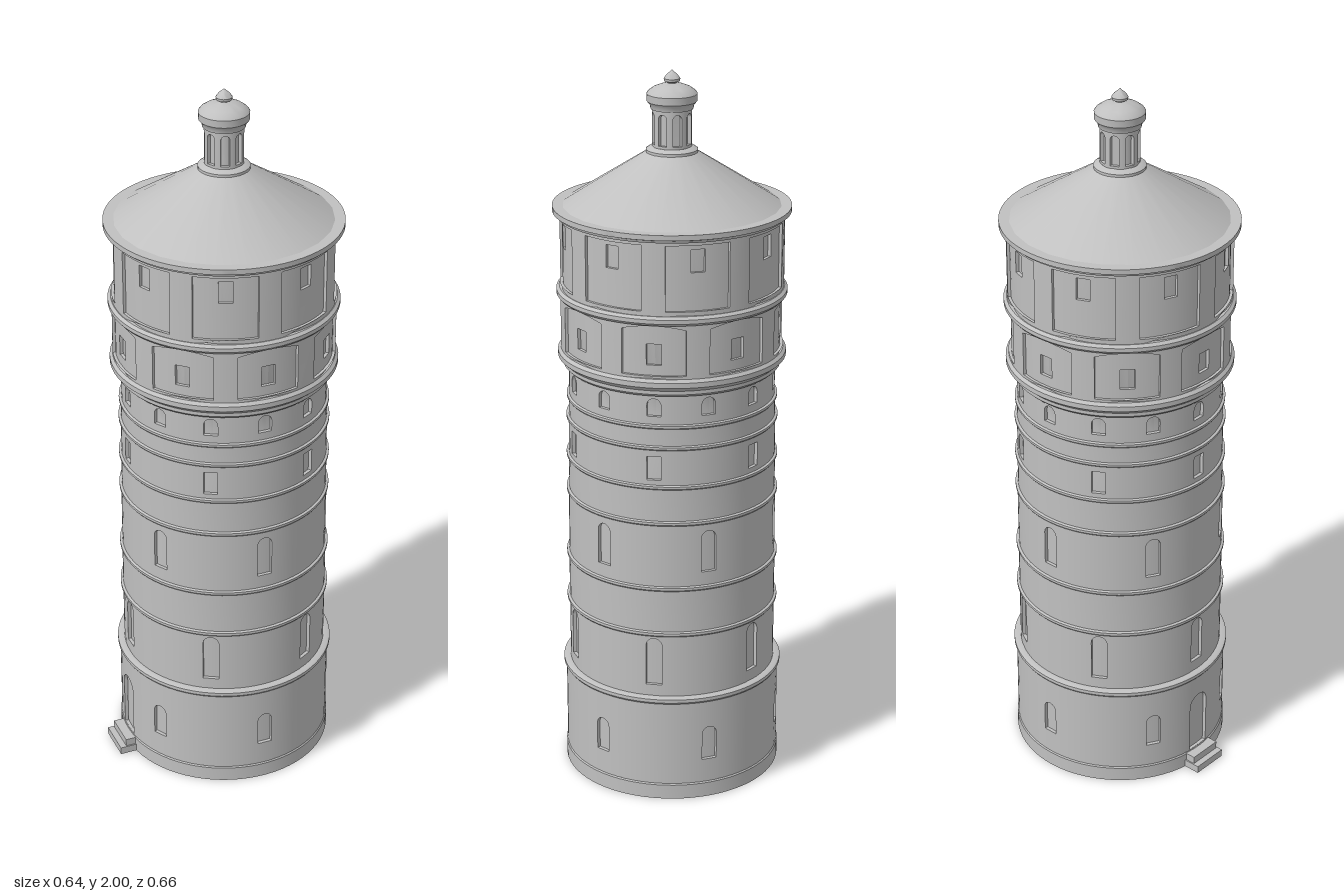
import * as THREE from 'three';
import { toCreasedNormals } from 'three/addons/utils/BufferGeometryUtils.js';

const DEG = Math.PI / 180;
const stone = new THREE.MeshStandardMaterial({ color: 0xc0c0c0 });
stone.name = 'grey stone';

function add(parent, name, geometry) {
  const mesh = new THREE.Mesh(geometry, stone);
  mesh.name = name;
  parent.add(mesh);
  return mesh;
}

// Turned part from [radius, height] pairs, listed from bottom to top
function turned(parent, name, profile, segments = 72) {
  const points = profile.map(([r, y]) => new THREE.Vector2(r, y));
  return add(parent, name, toCreasedNormals(new THREE.LatheGeometry(points, segments), 35 * DEG));
}

// Extrudes a flat shape and wraps it round the tower axis, its face at radius r
function wrapped(shape, r, depth, azimuth) {
  const g = new THREE.ExtrudeGeometry(shape, { depth, bevelEnabled: false, curveSegments: 8 });
  const p = g.attributes.position, n = g.attributes.normal;
  for (let i = 0; i < p.count; i++) {
    const a = azimuth + p.getX(i) / r, s = Math.sin(a), c = Math.cos(a);
    const rad = r - depth + p.getZ(i), nx = n.getX(i), nz = n.getZ(i);
    p.setXYZ(i, rad * s, p.getY(i), rad * c);
    n.setXYZ(i, nx * c + nz * s, n.getY(i), nz * c - nx * s);
  }
  return g;
}

// Strip outline with subdivided long edges; rise lifts the lower edge into an arch
function strip(half, y0, y1, rise = 0) {
  const pts = [], steps = 12;
  for (let i = 0; i <= steps; i++) {
    const t = i / steps * 2 - 1;
    pts.push(new THREE.Vector2(t * half, y0 + rise * (1 - t * t)));
  }
  for (let i = steps; i >= 0; i--) pts.push(new THREE.Vector2((i / steps * 2 - 1) * half, y1));
  return new THREE.Shape(pts);
}

function openingPath(w, y0, y1, arched) {
  const h = w / 2, path = new THREE.Path();
  path.moveTo(-h, y0);
  path.lineTo(h, y0);
  if (arched) {
    path.lineTo(h, y1 - h);
    path.absarc(0, y1 - h, h, 0, Math.PI, false);
  } else {
    path.lineTo(h, y1);
    path.lineTo(-h, y1);
  }
  path.closePath();
  return path;
}

// Round wall with recessed openings; openings are sorted by azimuth in degrees
function wallTier(parent, name, r, y0, y1, openings, depth = 0.01, margin = 0.004) {
  const tier = new THREE.Group();
  tier.name = name;
  parent.add(tier);
  openings.forEach((o, i) => {
    const half = o.w / 2 + margin;
    const shape = strip(half, y0, y1);
    shape.holes.push(openingPath(o.w, o.y0, o.y1, o.arched));
    add(tier, o.name || 'windowSurround', wrapped(shape, r, depth, o.az * DEG));
    const next = openings[(i + 1) % openings.length];
    const start = o.az * DEG + half / r;
    let end = next.az * DEG - (next.w / 2 + margin) / r;
    if (i === openings.length - 1) end += 2 * Math.PI;
    const g = new THREE.CylinderGeometry(r, r, y1 - y0, Math.max(2, Math.ceil((end - start) / (5 * DEG))), 1, true, start, end - start);
    g.translate(0, (y0 + y1) / 2, 0);
    add(tier, 'wall', g);
  });
}

// Evenly spaced identical openings
function ring(count, az, w, y0, y1, arched) {
  return Array.from({ length: count }, (_, i) => ({ az: az + i * 360 / count, w, y0, y1, arched }));
}

// Pilasters and panel heads that frame the sunken fields of the tank drum
function panelFrame(parent, name, az, y0, y1, rise) {
  const frame = new THREE.Group();
  frame.name = name;
  parent.add(frame);
  const r = 0.304, depth = 0.009, pier = 6 * DEG * r, field = 16.5 * DEG * r;
  for (let i = 0; i < 8; i++) {
    const a = (az + i * 45) * DEG;
    add(frame, 'pilaster', wrapped(strip(pier, y0, y1), r, depth, a + 22.5 * DEG));
    add(frame, 'panelHead', wrapped(strip(field, y1 - 0.025, y1, rise), r, depth, a));
    add(frame, 'panelSill', wrapped(strip(field, y0, y0 + 0.015), r, depth, a));
  }
}

export function createModel() {
  const model = new THREE.Group();
  model.name = 'waterTower';
  const tower = new THREE.Group();
  tower.name = 'tower';
  tower.position.z = -0.008;
  model.add(tower);

  // Inner core that closes the backs of all openings
  turned(tower, 'core', [[0, 0], [0.291, 0], [0.291, 0.3], [0.28, 0.305], [0.28, 0.64], [0.277, 0.83],
    [0.275, 1.1], [0.273, 1.11], [0.273, 1.2], [0.287, 1.22], [0.287, 1.63]]);

  // Ground floor with plinth and door
  turned(tower, 'plinth', [[0, 0], [0.305, 0], [0.305, 0.042], [0.302, 0.046], [0.29, 0.046]]);
  const ground = ring(6, 4, 0.042, 0.115, 0.215, true);
  ground.push({ az: 334, w: 0.07, y0: 0.047, y1: 0.23, arched: true, name: 'doorSurround' });
  ground.sort((a, b) => a.az - b.az);
  wallTier(tower, 'groundFloor', 0.302, 0.04, 0.3, ground);

  // Door steps
  const steps = new THREE.Group();
  steps.name = 'doorSteps';
  steps.rotation.y = -26 * DEG;
  tower.add(steps);
  [[0.108, 0.022, 0.348], [0.1, 0.044, 0.33]].forEach(([w, h, reach]) => {
    const g = new THREE.BoxGeometry(w, h, reach - 0.28);
    add(steps, 'step', g.translate(0, h / 2, (reach + 0.28) / 2));
  });

  // Shaft storeys
  wallTier(tower, 'firstStorey', 0.29, 0.3, 0.5, ring(6, -26, 0.045, 0.345, 0.485, true));
  turned(tower, 'plainStoreyLower', [[0.29, 0.5], [0.29, 0.635]]);
  wallTier(tower, 'secondStorey', 0.289, 0.635, 0.825, ring(6, 4, 0.042, 0.68, 0.8, true));
  turned(tower, 'plainStoreyUpper', [[0.287, 0.825], [0.287, 0.93]]);
  wallTier(tower, 'thirdStorey', 0.286, 0.93, 1.045, ring(6, -26, 0.038, 0.95, 1.017, false));
  turned(tower, 'plainFrieze', [[0.285, 1.045], [0.285, 1.1]]);
  wallTier(tower, 'friezeStorey', 0.283, 1.1, 1.2, ring(12, 4, 0.038, 1.13, 1.18, true));

  // String courses: height, wall radius, projection, thickness
  [[0.303, 0.301, 0.008, 0.018], [0.5, 0.29, 0.007, 0.014], [0.635, 0.29, 0.006, 0.013], [0.826, 0.288, 0.006, 0.013],
    [0.93, 0.287, 0.006, 0.012], [1.042, 0.286, 0.006, 0.012], [1.102, 0.284, 0.006, 0.012]].forEach(([y, r, out, t]) =>
    turned(tower, 'stringCourse', [[r - 0.015, y - t / 2], [r + out * 0.5, y - t / 2], [r + out, y - t / 5],
      [r + out, y + t / 3], [r + out * 0.4, y + t / 2], [r - 0.015, y + t / 2]]));

  // Corbelled cornice below the tank drum
  turned(tower, 'drumCornice', [[0.275, 1.188], [0.29, 1.19], [0.297, 1.197], [0.297, 1.207], [0.312, 1.22],
    [0.312, 1.234], [0.304, 1.242], [0.285, 1.242]]);

  // Tank drum, two rows of framed panels
  wallTier(tower, 'drumLowerWall', 0.296, 1.23, 1.41, ring(8, 19.5, 0.04, 1.278, 1.336, false));
  panelFrame(tower, 'drumLowerPanels', 19.5, 1.235, 1.4, 0.013);
  turned(tower, 'drumBand', [[0.29, 1.39], [0.308, 1.39], [0.314, 1.397], [0.314, 1.408], [0.306, 1.415], [0.29, 1.415]]);
  wallTier(tower, 'drumUpperWall', 0.296, 1.4, 1.63, ring(8, -3, 0.038, 1.53, 1.592, false));
  panelFrame(tower, 'drumUpperPanels', -3, 1.412, 1.63, 0);

  // Eaves and roof
  turned(tower, 'eaves', [[0.29, 1.612], [0.31, 1.614], [0.313, 1.621], [0.322, 1.624], [0.322, 1.638], [0, 1.638]]);
  const roof = new THREE.CylinderGeometry(0.068, 0.296, 0.145, 24, 1, true, 7.5 * DEG);
  add(tower, 'roof', roof.translate(0, 1.7095, 0));

  // Roof lantern
  const lantern = new THREE.Group();
  lantern.name = 'lantern';
  tower.add(lantern);
  turned(lantern, 'lanternBase', [[0.06, 1.772], [0.07, 1.776], [0.07, 1.788], [0.058, 1.796], [0, 1.796]], 32);
  turned(lantern, 'lanternCore', [[0.043, 1.79], [0.043, 1.9]], 32);
  wallTier(lantern, 'lanternArcade', 0.053, 1.79, 1.9, ring(8, 0, 0.025, 1.803, 1.888, true), 0.01, 0.003);
  turned(lantern, 'lanternDome', [[0.045, 1.895], [0.057, 1.897], [0.059, 1.908], [0.067, 1.917], [0.068, 1.937],
    [0.063, 1.944], [0.05, 1.953], [0.033, 1.96], [0.012, 1.965]], 32);
  turned(lantern, 'finial', [[0.011, 1.96], [0.012, 1.966], [0.021, 1.97], [0.022, 1.977], [0.015, 1.987],
    [0.006, 1.994], [0, 2]], 20);

  return model;
}
